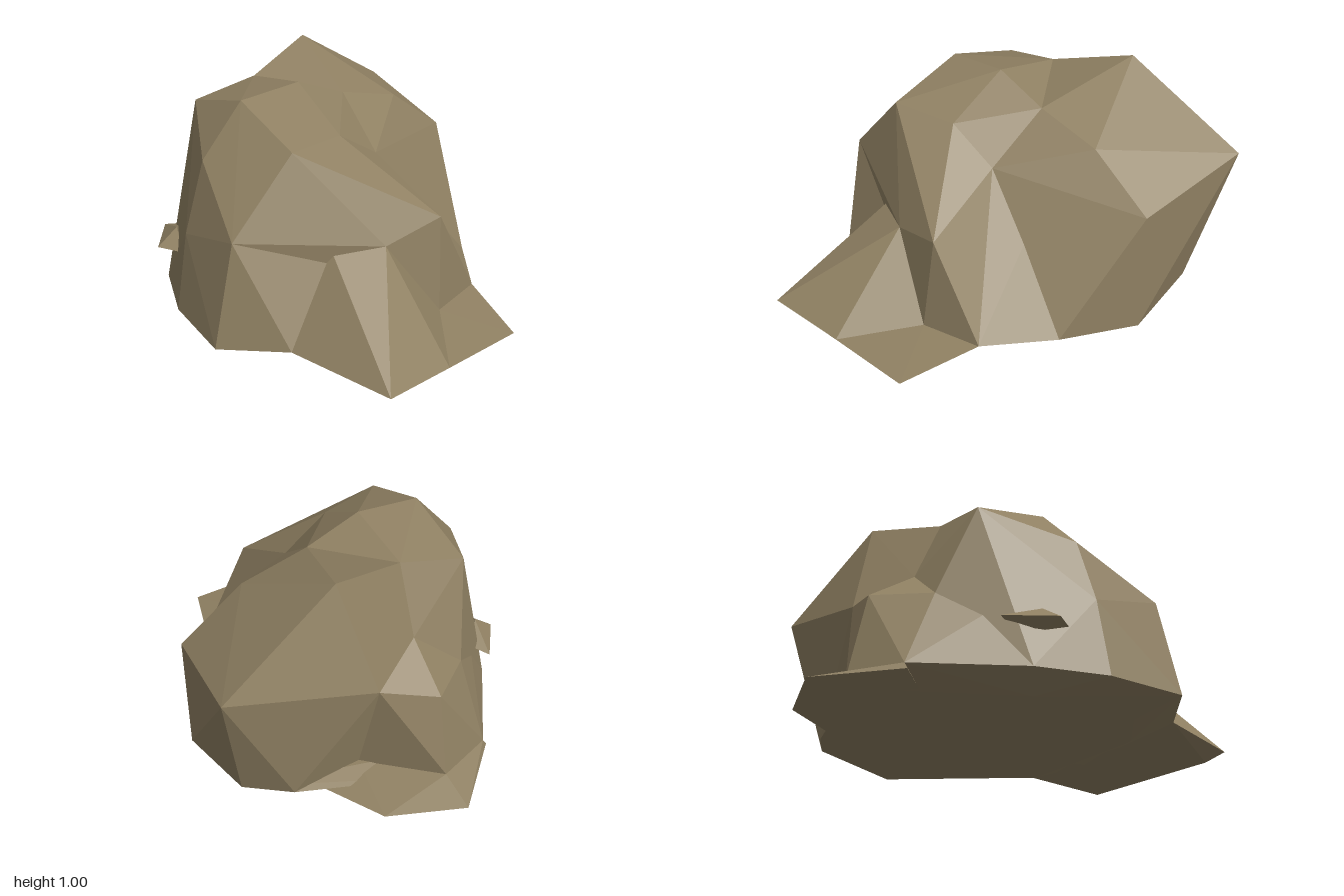
import * as THREE from 'three';
import { ConvexGeometry } from 'three/addons/geometries/ConvexGeometry.js';

const stone = new THREE.MeshStandardMaterial({ color: 0x8f8062, flatShading: true });
stone.name = 'stone';

// One faceted chunk of rock, spanned by its corner points
function chunk(name, corners) {
  const points = corners.map(([x, y, z]) => new THREE.Vector3(x, y, z));
  const mesh = new THREE.Mesh(new ConvexGeometry(points), stone);
  mesh.name = name;
  return mesh;
}

export function createModel() {
  const rock = new THREE.Group();
  rock.name = 'rock';

  // Corners shared by neighbouring chunks: crown
  const saddle = [-0.06, 0.86, -0.15];
  const shoulder = [-0.40, 0.90, 0.10];
  const rightCrown = [0.23, 0.80, 0.10];
  const frontCorner = [0.30, 0.82, 0.40];
  const brow = [0.30, 0.51, 0.70];
  const valleyTop = [0.21, 0.66, -0.12];
  const valleyLow = [0.21, 0.43, -0.34];
  // Left side
  const leftCrease = [-0.53, 0.60, 0.10];
  const leftHollow = [-0.58, 0.42, 0.32];
  const leftBulge = [-0.67, 0.51, -0.15];
  const frontHollow = [-0.32, 0.42, 0.53];
  // Wedge ridge
  const ridgeFront = [0.44, 0.41, 0.31];
  const ridgeBack = [0.55, 0.41, 0.11];
  const wedgeTip = [0.99, 0.06, 0.46];
  const wedgeSide = [0.94, 0.02, 0.10];
  // Foot
  const frontFoot = [0.30, 0.06, 0.80];
  const midFoot = [-0.06, 0.06, 0.76];
  const chipFoot = [-0.35, 0.06, 0.64];
  const leftFoot = [-0.74, 0.06, 0.36];
  const sideFoot = [-0.83, 0.06, 0.10];
  const rightFoot = [0.51, 0.06, 0.57];
  const rightNotch = [0.64, 0.06, -0.13];
  const sideBackFoot = [0.57, 0.06, -0.40];
  const backFoot = [0.30, 0.06, -0.61];
  const rearFoot = [-0.06, 0.01, -0.75];
  const rearLeftFoot = [-0.46, 0.05, -0.69];
  const innerLeftFoot = [-0.57, 0.05, -0.18];

  rock.add(
    chunk('frontMass', [
      saddle, shoulder, rightCrown, valleyTop, [-0.06, 0.96, 0.10],
      [-0.43, 0.84, 0.40], [-0.06, 0.94, 0.40], frontCorner,
      [-0.06, 0.72, 0.60], brow, [-0.06, 0.41, 0.70], frontHollow,
      leftCrease, leftHollow, frontFoot, midFoot, chipFoot,
      [-0.50, 0.06, 0.30], [-0.40, 0.06, -0.20], [0.20, 0.06, -0.20],
    ]),
    chunk('rightMass', [
      rightCrown, valleyTop, frontCorner, brow, [0.44, 0.64, 0.10],
      [0.59, 0.48, -0.16], ridgeFront, ridgeBack, rightNotch, sideBackFoot,
      [0.30, 0.06, 0.60], [0.15, 0.06, 0],
    ]),
    chunk('rightFrontFacet', [
      brow, frontFoot, rightFoot, ridgeFront, [0.20, 0.06, 0.30],
    ]),
    chunk('backMass', [
      [-0.52, 1.0, -0.27], saddle, shoulder, leftCrease, leftBulge,
      [-0.06, 0.78, -0.46], valleyTop, valleyLow,
      [-0.61, 0.68, -0.81], [-0.06, 0.57, -0.75],
      backFoot, rearFoot, rearLeftFoot, [-0.58, 0.03, -0.50], innerLeftFoot,
    ]),
    chunk('valleyFacet', [
      valleyTop, valleyLow, sideBackFoot, backFoot, [0, 0.06, -0.20],
    ]),
    chunk('leftMass', [
      leftBulge, [-0.75, 0.44, 0.10], leftCrease, leftHollow, frontHollow,
      sideFoot, leftFoot, chipFoot, innerLeftFoot,
    ]),
    chunk('leftLedge', [
      [-1.0, 0.015, 0.10], [-0.87, 0.015, -0.23], [-0.56, 0.015, -0.40],
      [-0.74, 0.03, 0.38], leftFoot, sideFoot, innerLeftFoot, [-0.40, 0, 0.10],
    ]),
    chunk('rightWedge', [
      ridgeFront, ridgeBack, wedgeTip, wedgeSide,
      rightFoot, rightNotch, [0.92, 0.01, 0.40], [0.40, 0.01, 0.20],
    ]),
    chunk('rightLedge', [
      rightNotch, [0.92, 0.015, -0.30], sideBackFoot, wedgeSide, [0.40, 0.005, 0],
    ]),
    // Flat underside, drawn in a little from the foot
    chunk('base', [
      frontFoot, midFoot, chipFoot, leftFoot, [-0.80, 0.02, 0.10],
      [-0.58, 0.03, -0.50], rearLeftFoot, rearFoot, backFoot, sideBackFoot,
      rightNotch, rightFoot, [0.25, 0.005, 0.58], [-0.25, 0, 0.52],
      [-0.55, 0, 0.20], [-0.40, 0, -0.45], [0.10, 0, -0.50], [0.45, 0, -0.25],
      [0.42, 0, 0.40],
    ]),
    // Small chip sticking out of the front
    chunk('frontChip', [
      [-0.46, 0.26, 0.58], [-0.38, 0.28, 0.52], [-0.28, 0.33, 0.62],
      [-0.17, 0.26, 0.66], [-0.28, 0.26, 0.72], [-0.28, 0.23, 0.62],
    ]),
  );
  return rock;
}
